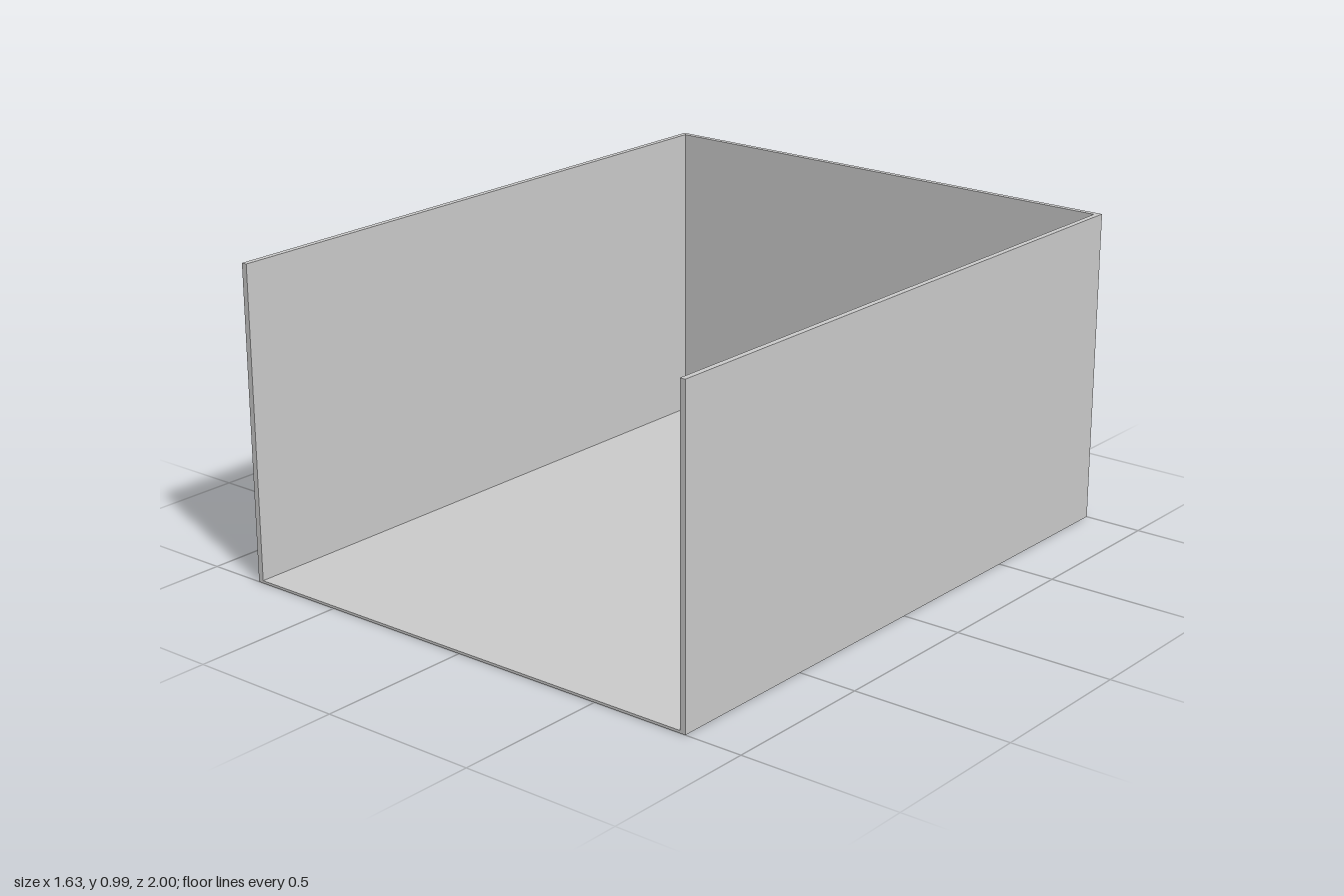
import * as THREE from 'three';

const WIDTH = 1.63, HEIGHT = 0.985, DEPTH = 2, WALL = 0.018, FLOOR = 0.008;

export function createModel() {
  const model = new THREE.Group();
  model.name = 'openFrontBox';
  const material = new THREE.MeshStandardMaterial({ color: 0xcccccc });
  const x = WIDTH / 2, z = DEPTH / 2;

  // Side and back walls: one U-shaped plan, raised to full height
  const plan = new THREE.Shape([
    [-x, -z], [-x + WALL, -z], [-x + WALL, z - WALL], [x - WALL, z - WALL],
    [x - WALL, -z], [x, -z], [x, z], [-x, z],
  ].map(([px, py]) => new THREE.Vector2(px, py)));
  const wallGeometry = new THREE.ExtrudeGeometry(plan, { depth: HEIGHT, bevelEnabled: false });
  wallGeometry.rotateX(-Math.PI / 2);
  const walls = new THREE.Mesh(wallGeometry, material);
  walls.name = 'walls';
  model.add(walls);

  // Thin floor panel fitted between the walls, flush with the open front
  const floor = new THREE.Mesh(
    new THREE.BoxGeometry(WIDTH - 2 * WALL, FLOOR, DEPTH - WALL), material);
  floor.position.set(0, FLOOR / 2, WALL / 2);
  floor.name = 'floor';
  model.add(floor);

  return model;
}
